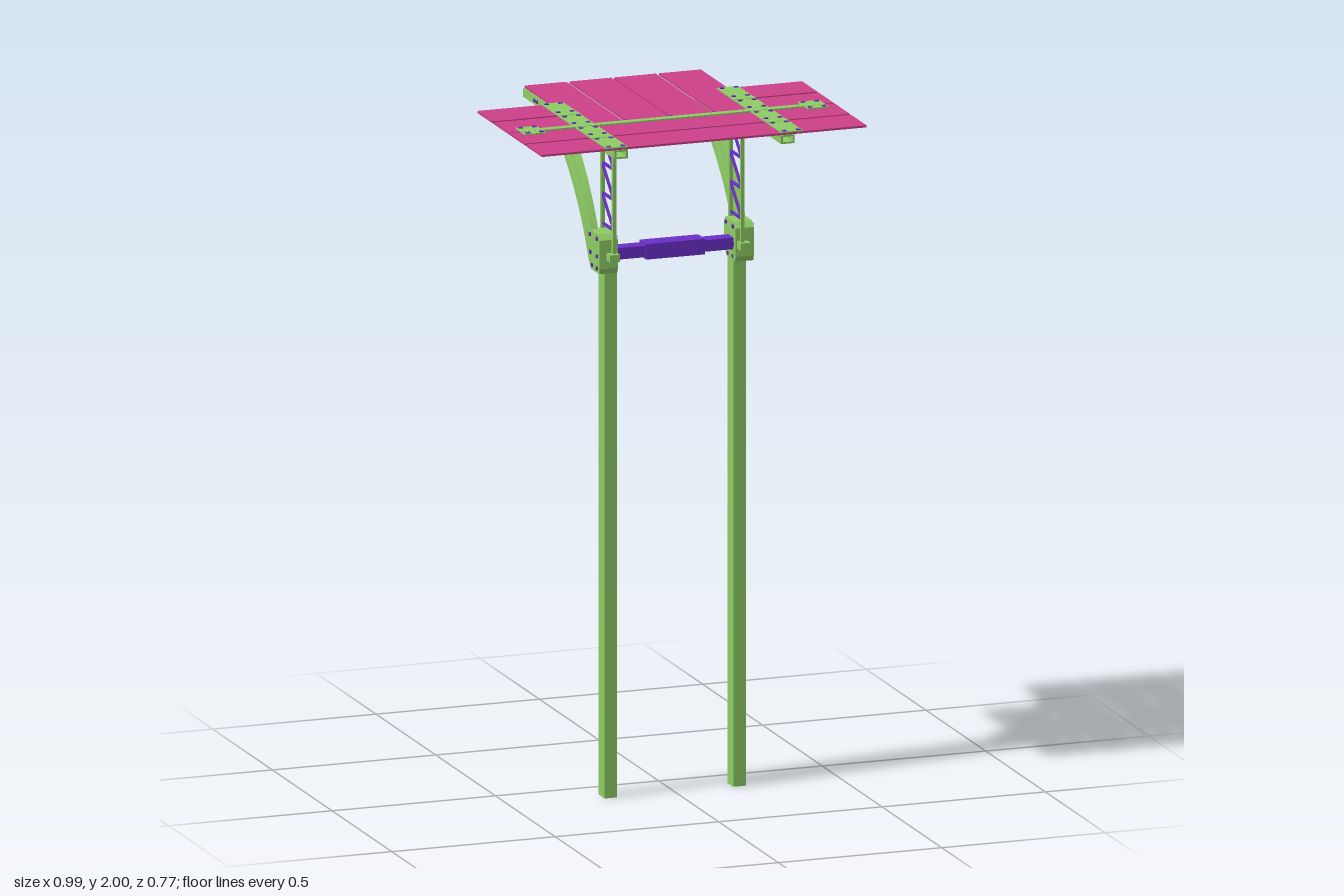
import * as THREE from 'three';

const mat = (color) => new THREE.MeshStandardMaterial({ color, flatShading: true, side: THREE.DoubleSide });

export function createModel() {
  const root = new THREE.Group();
  const green = mat(0x8fcc66), pink = mat(0xcc4088), purple = mat(0x6a2fc8);

  const add = (name, geo, material, parent = root) => {
    const m = new THREE.Mesh(geo, material);
    m.name = name;
    parent.add(m);
    return m;
  };
  // Box given by its limits on each axis
  const box = (name, x0, x1, y0, y1, z0, z1, material, parent) => {
    const m = add(name, new THREE.BoxGeometry(Math.abs(x1 - x0), y1 - y0, z1 - z0), material, parent);
    m.position.set((x0 + x1) / 2, (y0 + y1) / 2, (z0 + z1) / 2);
    return m;
  };
  // Outline of (z, y) points extruded sideways from x0 to x1
  const sidePlate = (name, pts, x0, x1, material, parent) => {
    const shape = new THREE.Shape(pts.map(([z, y]) => new THREE.Vector2(-z, y)));
    const geo = new THREE.ExtrudeGeometry(shape, { depth: x1 - x0, bevelEnabled: false });
    geo.rotateY(Math.PI / 2).translate(x0, 0, 0);
    return add(name, geo, material, parent);
  };
  // Square bar between two (z, y) points at a given x
  const bar = (name, x, a, b, t, material, parent) => {
    const dz = b[0] - a[0], dy = b[1] - a[1];
    const m = add(name, new THREE.BoxGeometry(t, Math.hypot(dz, dy), t), material, parent);
    m.position.set(x, (a[1] + b[1]) / 2, (a[0] + b[0]) / 2);
    m.rotation.x = Math.atan2(dz, dy);
  };
  // Curved brace of constant width
  const arch = (a, c, b, x0, x1, parent) => {
    const curve = new THREE.QuadraticBezierCurve(
      new THREE.Vector2(...a), new THREE.Vector2(...c), new THREE.Vector2(...b));
    const upper = [], lower = [];
    for (let i = 0; i <= 14; i++) {
      const p = curve.getPoint(i / 14), t = curve.getTangent(i / 14);
      upper.push([p.x - t.y * 0.012, p.y + t.x * 0.012]);
      lower.unshift([p.x + t.y * 0.012, p.y - t.x * 0.012]);
    }
    sidePlate('curvedBrace', [...upper, ...lower], x0, x1, green, parent);
  };

  // Roof planks
  const roof = new THREE.Group();
  roof.name = 'roof';
  root.add(roof);
  const P0 = 1.988, P1 = 1.994;
  box('frontPlank', -0.497, 0.497, P0, P1, 0.25, 0.38, pink, roof);
  box('middlePlank', -0.497, 0.497, P0, P1, 0.112, 0.24, pink, roof);
  for (const s of [-1, 1]) {
    box('sidePlank', s * 0.272, s * 0.497, P0, P1, -0.02, 0.106, pink, roof);
    box('sidePlank', s * 0.272, s * 0.497, P0, P1, -0.16, -0.032, pink, roof);
  }
  for (const x of [-0.206, -0.068, 0.068, 0.206])
    box('rearPlank', x - 0.064, x + 0.064, P0, P1, -0.387, 0.1, pink, roof);
  for (const x of [-0.135, 0, 0.135])
    box('gapBolt', x - 0.005, x + 0.005, P0, 1.997, 0.088, 0.1, purple, roof);

  // Long cross strap with its end pads
  box('crossStrap', -0.46, 0.46, P1, 1.998, 0.1, 0.125, green, roof);

  const bolt = (x, z) => box('roofBolt', x - 0.006, x + 0.006, 1.996, 2, z - 0.005, z + 0.005, purple, roof);

  for (const s of [-1, 1]) {
    box('endPad', s * 0.4, s * 0.465, P1, 1.9975, 0.07, 0.152, green, roof);
    for (const x of [0.411, 0.453]) for (const z of [0.081, 0.142]) bolt(s * x, z);

    // Overlapping roof straps
    for (const [z0, z1, b0, b1] of [[-0.16, -0.008, -0.148, -0.05], [-0.008, 0.1, 0.004, 0.083],
      [0.125, 0.262, 0.143, 0.22], [0.262, 0.383, 0.275, 0.373]]) {
      box('roofStrap', s * 0.235, s * 0.301, P1, 1.9975, z0, z1, green, roof);
      for (const x of [0.247, 0.29]) for (const z of [b0, b1]) bolt(s * x, z);
    }
    for (const z of [-0.024, 0.112, 0.25])
      box('strapOverlap', s * 0.235, s * 0.301, P1, 1.9985, z - 0.014, z + 0.014, green, roof);
  }

  // Both supports are mirrored across the middle
  for (const s of [-1, 1]) {
    const g = new THREE.Group();
    g.name = s > 0 ? 'leftSupport' : 'rightSupport';
    root.add(g);
    const X = (a, b) => (s > 0 ? [a, b] : [-b, -a]);

    // Hollow post
    const rect = (P, w, h) => new P([[-w, -h], [w, -h], [w, h], [-w, h]].map((p) => new THREE.Vector2(...p)));
    const section = rect(THREE.Shape, 0.019, 0.025);
    section.holes.push(rect(THREE.Path, 0.016, 0.022));
    const post = new THREE.ExtrudeGeometry(section, { depth: 1.6, bevelEnabled: false });
    post.rotateX(-Math.PI / 2).translate(s * 0.197, 0, 0.112);
    add('post', post, green, g);

    // Chamfered gusset box with bolts on both sides
    sidePlate('gusset', [[0.145, 1.56], [0.15, 1.575], [0.15, 1.66], [0.135, 1.676], [0.065, 1.676],
      [0.052, 1.66], [0.052, 1.59], [0.078, 1.56]], ...X(0.18, 0.236), green, g);
    for (const [z, y] of [[0.13, 1.662], [0.072, 1.662], [0.132, 1.61], [0.075, 1.61], [0.13, 1.574], [0.09, 1.574]])
      box('gussetBolt', s * 0.176, s * 0.24, y - 0.005, y + 0.005, z - 0.005, z + 0.005, purple, g);
    box('rodFoot', s * 0.185, s * 0.215, 1.6, 1.622, 0.145, 0.18, green, g);

    // Lattice upright
    bar('latticeRod', s * 0.196, [0.162, 1.61], [0.162, 1.988], 0.011, green, g);
    bar('latticeRod', s * 0.196, [0.064, 1.66], [0.064, 1.988], 0.011, green, g);
    for (const y of [1.69, 1.78, 1.87]) {
      bar('latticeRung', s * 0.196, [0.16, y], [0.066, y], 0.007, purple, g);
      bar('latticeDiagonal', s * 0.196, [0.16, y], [0.066, y + 0.085], 0.007, purple, g);
    }

    // Pair of curved braces under the roof beam
    arch([0.075, 1.655], [-0.03, 1.87], [-0.255, 1.972], ...X(0.214, 0.236), g);
    arch([0.065, 1.595], [-0.05, 1.83], [-0.325, 1.972], ...X(0.214, 0.236), g);

    // Channel beam under the roof
    const Z0 = -0.383, Z1 = 0.383;
    box('beamWeb', s * 0.234, s * 0.24, 1.962, P0, Z0, Z1, green, g);
    box('beamTopFlange', s * 0.234, s * 0.275, 1.983, P0, Z0, Z1, green, g);
    box('beamBottomFlange', s * 0.234, s * 0.275, 1.962, 1.967, Z0, Z1, green, g);
    box('beamLip', s * 0.27, s * 0.275, 1.962, P0, Z0, Z1, green, g);
    for (const z of [-0.265, -0.285])
      box('beamBolt', s * 0.23, s * 0.278, 1.971, 1.979, z - 0.006, z + 0.006, purple, g);
  }

  // Tie beam between the posts, with a thicker sleeve
  box('tieBeam', -0.182, 0.182, 1.595, 1.629, 0.09, 0.134, purple);
  box('tieSleeve', -0.09, 0.09, 1.589, 1.635, 0.084, 0.14, purple);

  return root;
}
